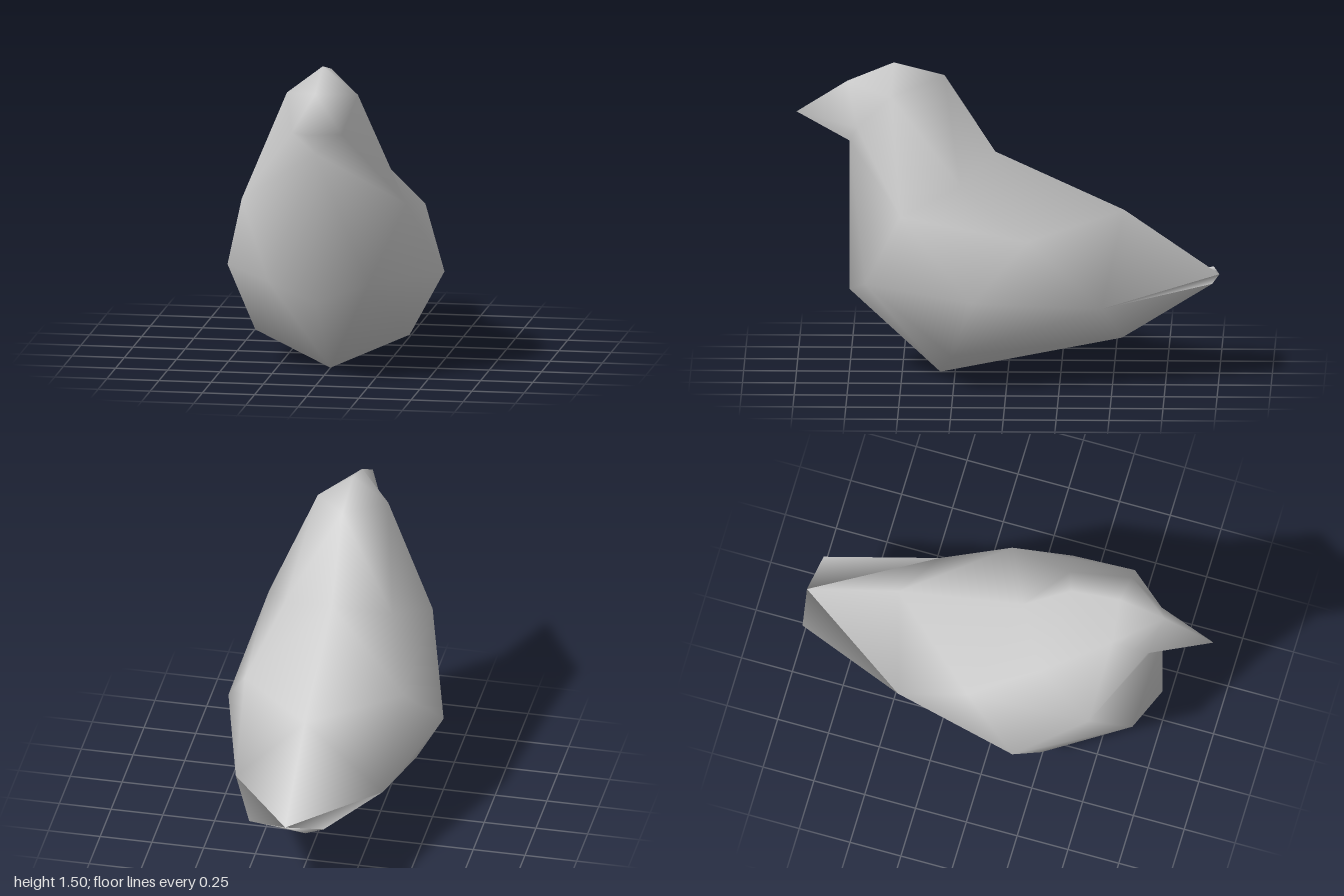
import * as THREE from 'three';
import { mergeVertices } from 'three/addons/utils/BufferGeometryUtils.js';

// Landmarks on the centre line and the left flank
const tailTip = [0, 0.48, -1];
const tailCorner = [0.18, 0.475, -0.97];
const rump = [0, 0.79, -0.55];
const hip = [0.355, 0.39, -0.45];
const vent = [0, 0.17, -0.54];
const neckBase = [0, 1.07, 0.06];
const wing = [0.385, 0.72, -0.1];
const flank = [0.52, 0.45, 0.16];
const belly = [0.37, 0.16, 0.26];
const keel = [0, 0, 0.32];
const nape = [0, 1.44, 0.3];
const neckSide = [0.26, 0.96, 0.22];
const shoulder = [0.395, 0.84, 0.5];
const breast = [0.24, 0.48, 0.67];
const crown = [0, 1.5, 0.54];
const headSide = [0.17, 1.37, 0.55];
const forehead = [0, 1.41, 0.76];
const cheek = [0.12, 1.21, 0.71];
const throat = [0, 1.12, 0.75];
const chest = [0, 0.4, 0.75];
const beakTip = [0, 1.26, 1];

// Half cross-sections from tail to beak, each from the top ridge down to the
// keel; a repeated landmark closes a strip to a single triangle.
const sections = [
  [tailTip, tailCorner, tailCorner, tailCorner, tailTip],
  [rump, hip, hip, hip, vent],
  [rump, hip, hip, belly, vent],
  [neckBase, wing, flank, belly, keel],
  [nape, neckSide, shoulder, breast, keel],
  [crown, headSide, shoulder, breast, keel],
  [forehead, headSide, shoulder, breast, keel],
  [forehead, cheek, shoulder, breast, keel],
  [forehead, cheek, throat, breast, keel],
  [forehead, cheek, throat, chest, chest],
  [beakTip, beakTip, beakTip],
];

// Skins neighbouring sections, mirrors them and welds for smooth shading
function loftMirrored(rows) {
  const positions = [];
  const addTriangle = (a, b, c) => {
    if (a === b || b === c || a === c) return;
    positions.push(...a, ...b, ...c);
    for (const [x, y, z] of [a, c, b]) positions.push(x === 0 ? 0 : -x, y, z);
  };
  for (let i = 0; i < rows.length - 1; i++) {
    const back = rows[i], front = rows[i + 1];
    for (let k = 0; k < Math.min(back.length, front.length) - 1; k++) {
      addTriangle(back[k], front[k], front[k + 1]);
      addTriangle(back[k], front[k + 1], back[k + 1]);
    }
  }
  const geometry = new THREE.BufferGeometry();
  geometry.setAttribute('position', new THREE.Float32BufferAttribute(positions, 3));
  const welded = mergeVertices(geometry);
  welded.computeVertexNormals();
  return welded;
}

export function createModel() {
  const group = new THREE.Group();
  group.name = 'bird';
  const material = new THREE.MeshStandardMaterial({ color: 0xcccccc });
  const body = new THREE.Mesh(loftMirrored(sections), material);
  body.name = 'birdBody';
  group.add(body);
  return group;
}
